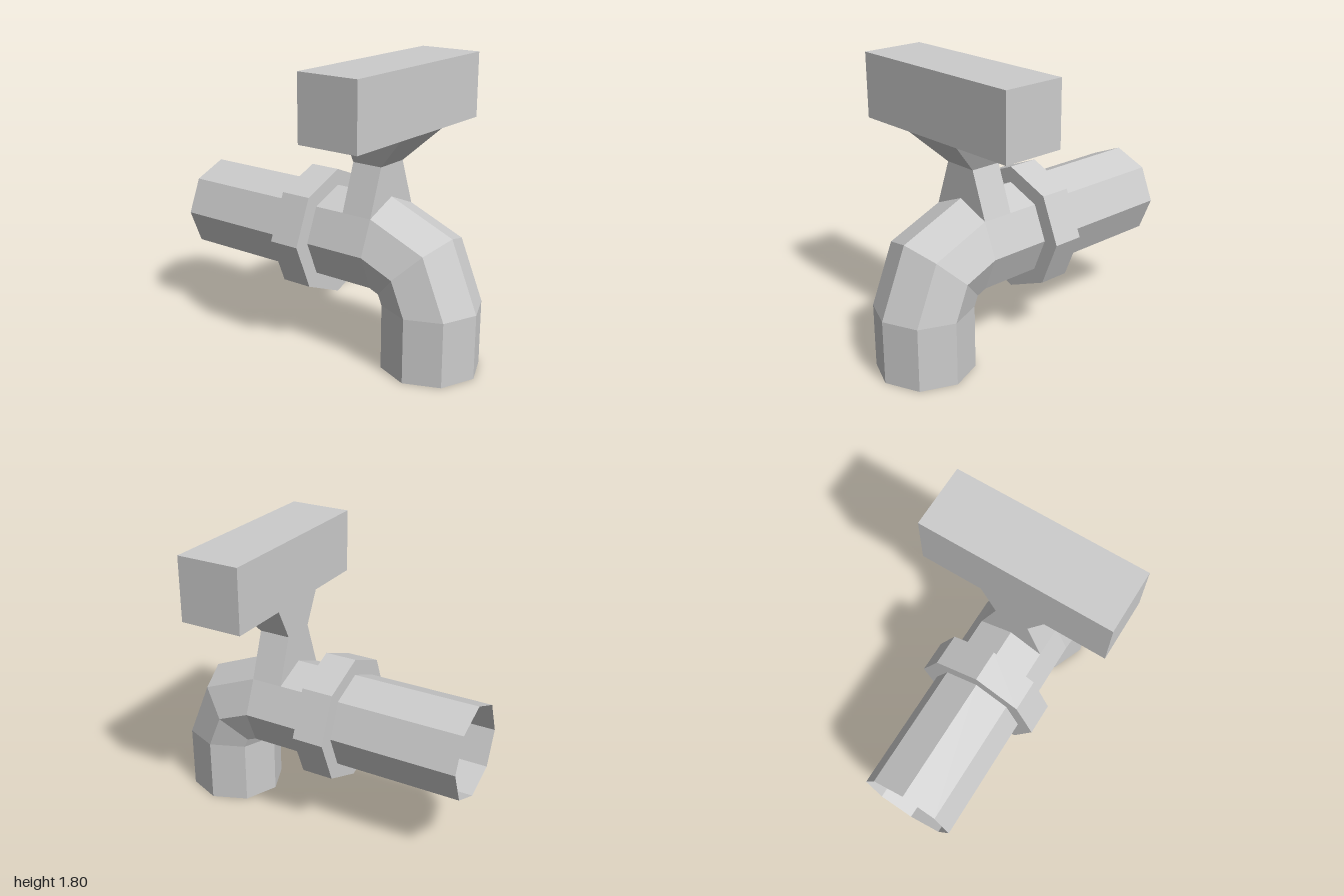
import * as THREE from 'three';

// Skins consecutive rings of points; each ring runs clockwise as seen from the far end.
// skip(k, i) leaves a panel out, cap closes the last ring.
function loft(rings, { cap = false, skip = () => false } = {}) {
  const pos = [];
  const tri = (a, b, c) => {
    const area = b.clone().sub(a).cross(c.clone().sub(a)).length();
    if (area > 1e-6) for (const p of [a, b, c]) pos.push(p.x, p.y, p.z);
  };
  for (let k = 0; k < rings.length - 1; k++) {
    const lo = rings[k], hi = rings[k + 1], n = lo.length;
    for (let i = 0; i < n; i++) {
      if (skip(k, i)) continue;
      const j = (i + 1) % n;
      tri(lo[i], hi[i], hi[j]);
      tri(lo[i], hi[j], lo[j]);
    }
  }
  if (cap) {
    const end = rings[rings.length - 1];
    for (let i = 1; i < end.length - 1; i++) tri(end[0], end[i + 1], end[i]);
  }
  const geo = new THREE.BufferGeometry();
  geo.setAttribute('position', new THREE.Float32BufferAttribute(pos, 3));
  geo.computeVertexNormals();
  return geo;
}

const SIDES = 8, R = 0.3, PIVOT = 0.4;

// Octagon around the pipe: z along the straight run, then turned about the elbow pivot
function pipeRing(z, r = R, turn = 0, drop = 0) {
  return Array.from({ length: SIDES }, (_, i) => {
    const a = (i / SIDES) * Math.PI * 2;
    const reach = R + r * Math.cos(a);
    return new THREE.Vector3(
      r * Math.sin(a),
      PIVOT + reach * Math.cos(turn) - drop,
      z + reach * Math.sin(turn)
    );
  });
}

// Six-point horizontal ring for the stem and handle; midY lets the centre points rise
function barRing(w, y, back, front, midY = y) {
  const v = (x, h, z) => new THREE.Vector3(x, h, z);
  return [v(-w, y, back), v(0, midY, back), v(w, y, back),
          v(w, y, front), v(0, midY, front), v(-w, y, front)];
}

export function createModel() {
  const group = new THREE.Group();
  const metal = new THREE.MeshStandardMaterial({ color: 0xcccccc });
  metal.name = 'grey metal';
  metal.flatShading = true;
  metal.side = THREE.DoubleSide;

  const add = (name, geo) => {
    const mesh = new THREE.Mesh(geo, metal);
    mesh.name = name;
    group.add(mesh);
  };

  // Open supply pipe with its stepped collar; the two top panels under the stem are left out
  add('pipeWithCollar', loft([
    pipeRing(-1), pipeRing(-0.2), pipeRing(-0.2, 0.4), pipeRing(0, 0.4),
    pipeRing(0), pipeRing(0.2), pipeRing(0.4),
  ], { skip: (k, i) => k === 5 && (i === 0 || i === SIDES - 1) }));

  // Elbow bending down into the closed spout
  add('spout', loft([
    pipeRing(PIVOT), pipeRing(PIVOT, R, Math.PI / 4),
    pipeRing(PIVOT, R, Math.PI / 2), pipeRing(PIVOT, R, Math.PI / 2, PIVOT),
  ], { cap: true }));

  // Stem narrows from the pipe, then flares forward to the handle
  const s = R * Math.SQRT1_2;
  add('stem', loft([
    barRing(s, 0.7 + s, 0.2, 0.4, 1.0),
    barRing(0.11, 1.2, 0.2, 0.4),
    barRing(s, 1.4, 0.2, 0.6),
  ]));

  // Crossbar handle, starting at the rim of the stem
  add('handle', loft([
    barRing(s, 1.4, 0.2, 0.6),
    barRing(0.61, 1.4, 0.2, 0.6),
    barRing(0.61, 1.8, 0.2, 0.6),
  ], { cap: true }));

  return group;
}
